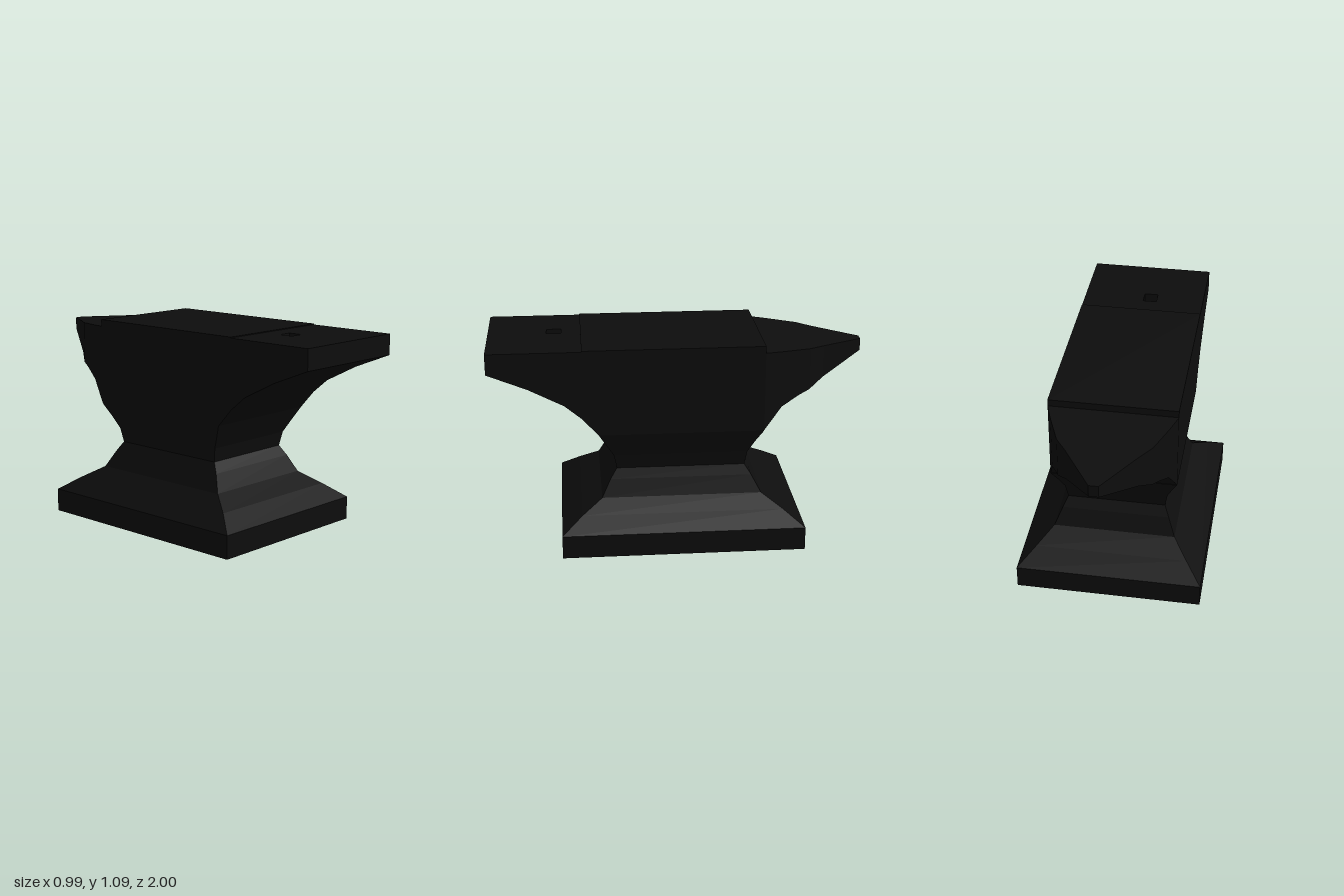
import * as THREE from 'three';

const iron = new THREE.MeshStandardMaterial({ color: 0x0d0d0d, flatShading: true });
iron.name = 'blackIron';

// Skins four-cornered rings, listed counter-clockwise as seen from the last ring
function loft(rings) {
  const index = [];
  for (let i = 0; i < rings.length - 1; i++) {
    for (let j = 0; j < 4; j++) {
      const a = i * 4 + j, b = i * 4 + (j + 1) % 4;
      index.push(a, b, b + 4, a, b + 4, a + 4);
    }
  }
  const e = (rings.length - 1) * 4;
  index.push(0, 2, 1, 0, 3, 2, e, e + 1, e + 2, e, e + 2, e + 3);
  const g = new THREE.BufferGeometry();
  g.setAttribute('position', new THREE.Float32BufferAttribute(rings.flat(2), 3));
  g.setIndex(index);
  const flat = g.toNonIndexed();
  flat.computeVertexNormals();
  return flat;
}

export function createModel() {
  const anvil = new THREE.Group();
  anvil.name = 'anvil';
  const add = (name, geometry) => {
    const mesh = new THREE.Mesh(geometry, iron);
    mesh.name = name;
    anvil.add(mesh);
    return mesh;
  };

  // Foot and waist: height, half width, front z, back z
  const foot = [
    [0, 0.493, 0.637, -0.65], [0.125, 0.493, 0.637, -0.65],
    [0.2, 0.405, 0.53, -0.54], [0.265, 0.326, 0.42, -0.432],
    [0.355, 0.287, 0.373, -0.382], [0.408, 0.262, 0.337, -0.347],
    [0.485, 0.275, 0.352, -0.361], [0.555, 0.303, 0.391, -0.398],
    [0.625, 0.333, 0.43, -0.44],
  ];
  add('footAndWaist', loft(foot.map(([y, h, f, b]) =>
    [[h, y, b], [-h, y, b], [-h, y, f], [h, y, f]])));

  // Horn, body and heel: z, half width, underside y, top y
  const body = [
    [-1, 0.025, 0.955, 1.02], [-0.77, 0.178, 0.86, 1.034],
    [-0.69, 0.238, 0.815, 1.04], [-0.63, 0.262, 0.792, 1.043],
    [-0.535, 0.3, 0.745, 1.048], [-0.44, 0.333, 0.628, 1.053],
    [-0.435, 0.333, 0.625, 0.985], [0.43, 0.333, 0.625, 0.985],
    [0.515, 0.333, 0.72, 0.985], [0.605, 0.333, 0.795, 0.985],
    [0.79, 0.333, 0.89, 0.985], [1, 0.333, 0.975, 0.985],
  ];
  add('hornAndHeel', loft(body.map(([z, h, b, t]) =>
    [[-h, b, z], [h, b, z], [h, t, z], [-h, t, z]])));

  // Working face with the square tool hole (shape y becomes -z)
  const rect = (path, x0, x1, y0, y1) =>
    path.moveTo(x0, y0).lineTo(x1, y0).lineTo(x1, y1).lineTo(x0, y1).closePath();
  const outline = rect(new THREE.Shape(), -0.333, 0.333, -1, 0.44);
  outline.holes.push(rect(new THREE.Path(), -0.073, 0.002, -0.69, -0.612));
  const plate = new THREE.ExtrudeGeometry(outline, { depth: 0.1, bevelEnabled: false });
  plate.rotateX(-Math.PI / 2);
  add('workingFace', plate).position.y = 0.985;

  // Slightly raised part of the face
  add('raisedFace', new THREE.BoxGeometry(0.666, 0.006, 0.95)).position.set(0, 1.087, 0.035);

  return anvil;
}
